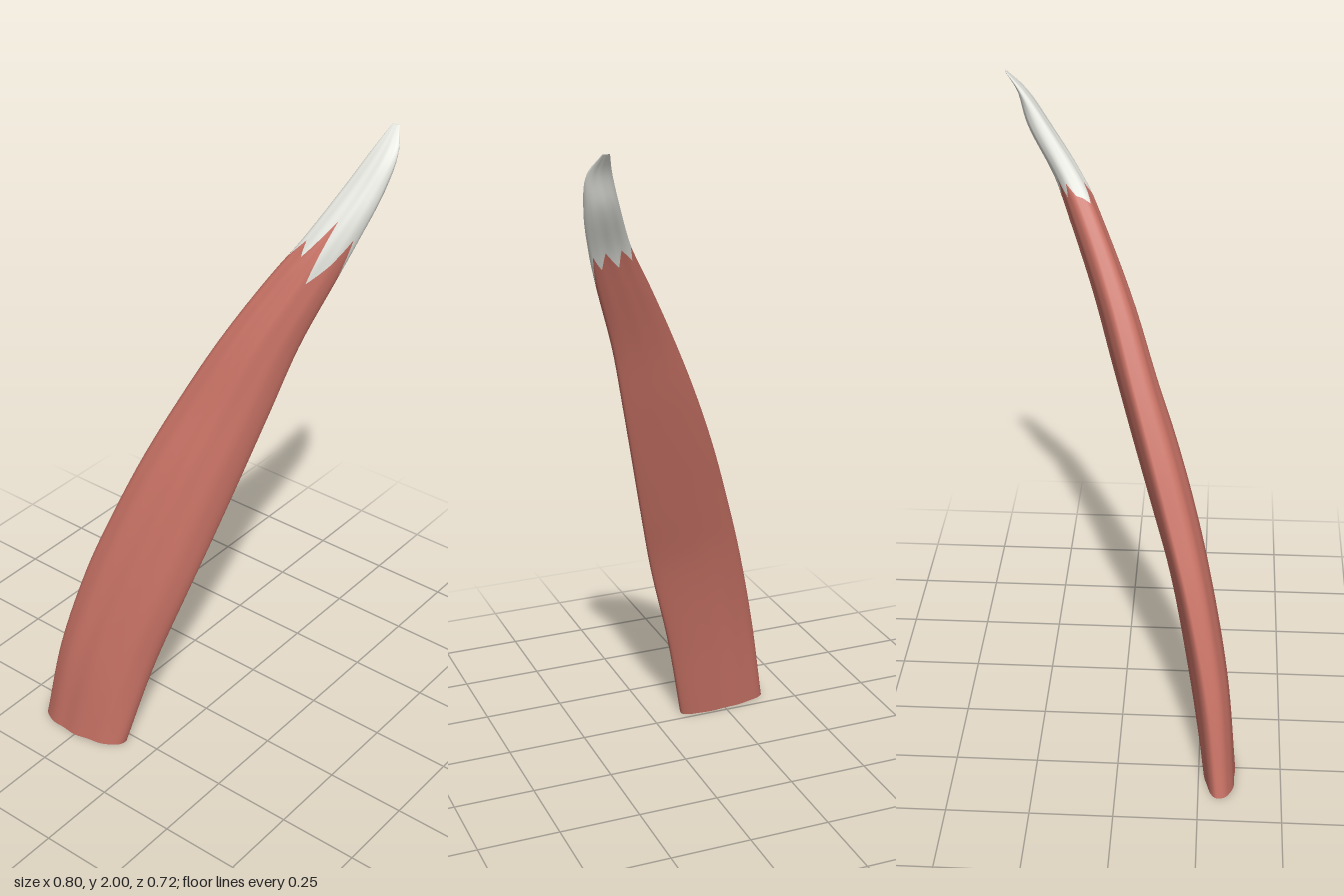
import * as THREE from 'three';

// Horizontal cross-sections: y, left edge x z, right edge x z, front bulge, back bulge
const SECTIONS = [
  [0.00, -0.400, 0.310, -0.100, 0.285, 0.062, 0.035],
  [0.30, -0.345, 0.273, -0.032, 0.222, 0.080, 0.032],
  [0.60, -0.267, 0.210, 0.054, 0.150, 0.090, 0.028],
  [0.80, -0.201, 0.155, 0.106, 0.086, 0.099, 0.028],
  [1.00, -0.128, 0.095, 0.156, 0.023, 0.099, 0.028],
  [1.20, -0.043, 0.032, 0.206, -0.037, 0.088, 0.028],
  [1.40, 0.053, -0.030, 0.257, -0.094, 0.076, 0.030],
  [1.60, 0.162, -0.108, 0.325, -0.162, 0.060, 0.034],
  [1.70, 0.222, -0.157, 0.357, -0.201, 0.054, 0.032],
  [1.85, 0.292, -0.248, 0.395, -0.270, 0.030, 0.038],
  [1.95, 0.333, -0.315, 0.400, -0.322, 0.014, 0.012],
  [2.00, 0.352, -0.358, 0.374, -0.360, 0.002, 0.002],
];
const spline = new THREE.CubicInterpolant(
  SECTIONS.map(s => s[0]), SECTIONS.flatMap(s => s.slice(1)), 6, new Float32Array(6));

// Height of the jagged colour border, at even steps around the section
const BORDER = [1.61, 1.72, 1.65, 1.60, 1.77, 1.67, 1.71, 1.66,
  1.68, 1.71, 1.67, 1.71, 1.66, 1.71, 1.66, 1.70];
const AROUND = 64;

function borderHeight(i) {
  const k = (i % AROUND) / AROUND * BORDER.length, n = Math.floor(k);
  return THREE.MathUtils.lerp(BORDER[n], BORDER[(n + 1) % BORDER.length], k - n);
}

// Point on the surface: step i runs right edge, front, left edge, back
function surfacePoint(i, y) {
  const a = i / AROUND * Math.PI * 2;
  const [lx, lz, rx, rz, front, back] = spline.evaluate(y);
  const c = Math.cos(a), t = (1 + c) / 2, s = Math.sin(a);
  const groove = 1 + 0.04 * Math.sin(a * 9 + y * 1.5) * Math.abs(s);
  // The front flattens toward the right edge above the base
  const power = 0.85 + (s > 0 ? 0.3 * c * Math.min(1, y / 0.6) : 0);
  const bulge = Math.pow(Math.abs(s), power) * groove * (s > 0 ? front : -back);
  return [lx + (rx - lx) * t, y, lz + (rz - lz) * t + bulge];
}

// Closed skin between two heights that may vary around the section
function skin(bottom, top, rows) {
  const pos = [], index = [];
  for (let j = 0; j <= rows; j++)
    for (let i = 0; i < AROUND; i++)
      pos.push(...surfacePoint(i, THREE.MathUtils.lerp(bottom(i), top(i), j / rows)));
  for (let j = 0; j < rows; j++)
    for (let i = 0; i < AROUND; i++) {
      const n = (i + 1) % AROUND, r = j * AROUND, u = r + AROUND;
      index.push(r + i, u + i, r + n, r + n, u + i, u + n);
    }
  return build(pos, index);
}

// Flat end cap
function cap(y, up) {
  const pos = [], index = [], c = [0, y, 0];
  for (let i = 0; i < AROUND; i++) {
    const p = surfacePoint(i, y);
    pos.push(...p);
    c[0] += p[0] / AROUND;
    c[2] += p[2] / AROUND;
    const n = (i + 1) % AROUND;
    index.push(AROUND, up ? n : i, up ? i : n);
  }
  return build([...pos, ...c], index);
}

function build(pos, index) {
  const g = new THREE.BufferGeometry();
  g.setAttribute('position', new THREE.Float32BufferAttribute(pos, 3));
  g.setIndex(index);
  g.computeVertexNormals();
  return g;
}

export function createModel() {
  const group = new THREE.Group();
  group.name = 'curvedTail';
  const red = new THREE.MeshStandardMaterial({ color: 0xc87265 });
  const white = new THREE.MeshStandardMaterial({ color: 0xe4e4de });
  const add = (name, geometry, material) => {
    const mesh = new THREE.Mesh(geometry, material);
    mesh.name = name;
    group.add(mesh);
  };
  add('body', skin(() => 0, borderHeight, 40), red);
  add('baseCap', cap(0, false), red);
  add('paleTip', skin(borderHeight, () => 2, 20), white);
  add('tipCap', cap(2, true), white);
  return group;
}
